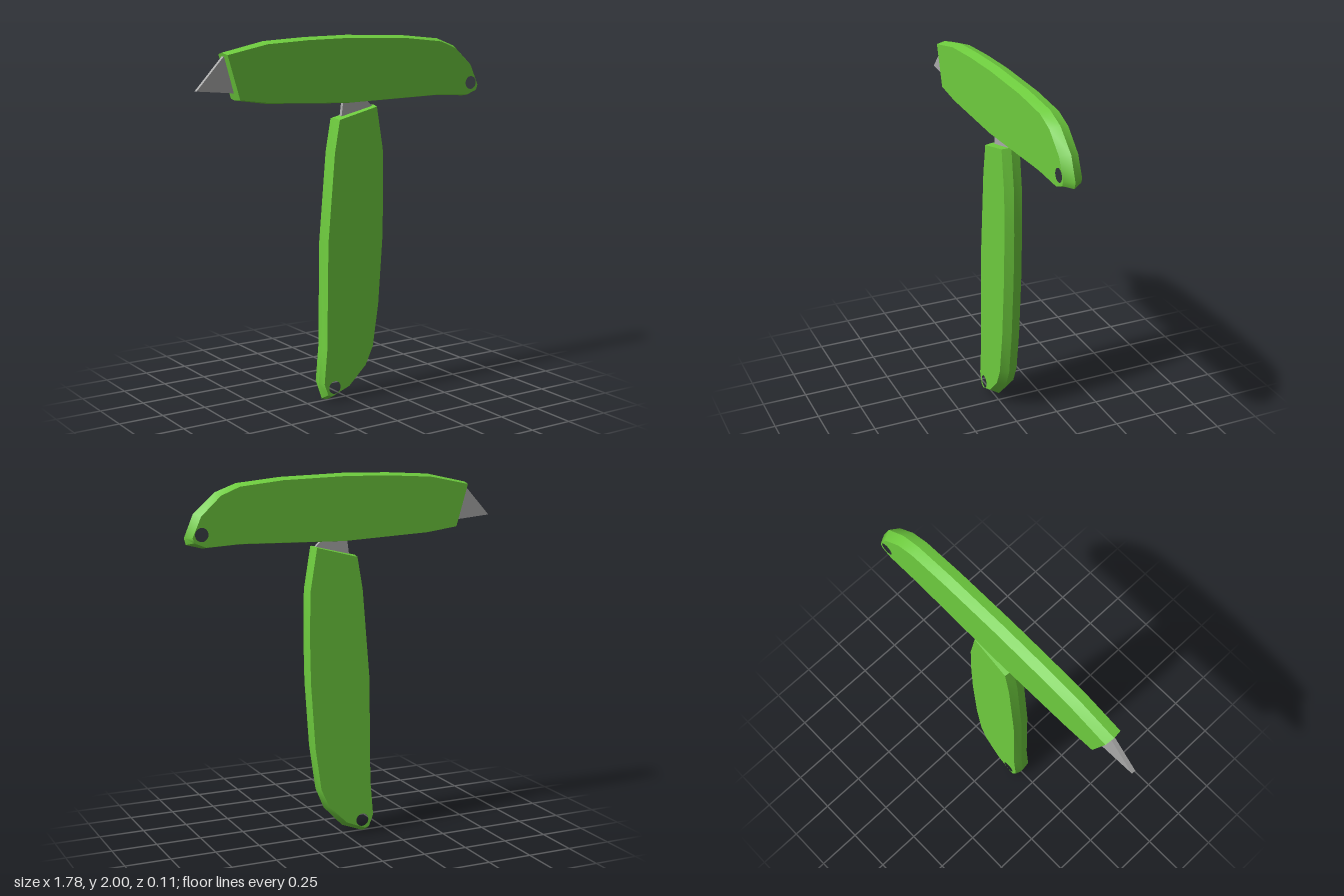
import * as THREE from 'three';
import { toCreasedNormals } from 'three/addons/utils/BufferGeometryUtils.js';

const HOLE = [0.807, 1.714]; // lanyard hole, used as each knife's origin
const HALF = 0.05; // half thickness of the handle

// Handle outline along the centre ridge, clockwise from the blade end
const ridge = [
  [-0.742, 1.93], [-0.505, 1.981], [-0.26, 1.995], [0, 2.0], [0.36, 1.989], [0.603, 1.965],
  [0.715, 1.923], [0.835, 1.818], [0.886, 1.696], [0.876, 1.661], [0.79, 1.639],
  [0.59, 1.65], [0, 1.637], [-0.49, 1.659], [-0.673, 1.686],
];
// Matching outline of the flat side faces
const face = [
  [-0.735, 1.92], [-0.505, 1.967], [-0.26, 1.981], [0, 1.986], [0.36, 1.975], [0.597, 1.95],
  [0.7, 1.908], [0.808, 1.807], [0.856, 1.70], [0.847, 1.674], [0.785, 1.648],
  [0.59, 1.658], [0, 1.644], [-0.49, 1.667], [-0.667, 1.691],
];
const blade = [[-0.7, 1.96 - 0.06], [-0.733, 1.915], [-0.892, 1.743], [-0.675, 1.723], [-0.6, 1.723], [-0.6, 1.9]];

const local = (pts) => pts.map(([x, y]) => new THREE.Vector2(x - HOLE[0], y - HOLE[1]));

// Band of quads joining two closed outlines at two depths
function band(a, za, b, zb) {
  const pos = [];
  a.forEach((p, i) => {
    const j = (i + 1) % a.length;
    const q = a[j], r = b[j], s = b[i];
    pos.push(p.x, p.y, za, q.x, q.y, za, r.x, r.y, zb);
    pos.push(p.x, p.y, za, r.x, r.y, zb, s.x, s.y, zb);
  });
  const g = new THREE.BufferGeometry();
  g.setAttribute('position', new THREE.Float32BufferAttribute(pos, 3));
  return toCreasedNormals(g, 0.75);
}

function plate(shape, depth) {
  const g = new THREE.ExtrudeGeometry(shape, { depth, bevelEnabled: false, curveSegments: 16 });
  g.translate(0, 0, -depth / 2);
  return toCreasedNormals(g, 0.5);
}

function createKnife(name, green, steel) {
  const knife = new THREE.Group();
  knife.name = name;
  const add = (partName, geometry, material) => {
    const mesh = new THREE.Mesh(geometry, material);
    mesh.name = partName;
    knife.add(mesh);
  };

  // Handle sides with the round hole cut through
  const side = new THREE.Shape(local(face));
  side.holes.push(new THREE.Path().absarc(0, 0, 0.036, 0, Math.PI * 2, true));
  add('handleSides', plate(side, HALF * 2), green);

  // Rim sloping out from each side to the centre ridge
  const inner = local(face), outer = local(ridge);
  add('frontRim', band(inner, HALF, outer, 0), green);
  add('backRim', band(outer, 0, inner, -HALF), green);

  // Blade, with its root inside the handle
  add('blade', plate(new THREE.Shape(local(blade)), 0.022), steel);
  return knife;
}

export function createModel() {
  const green = new THREE.MeshStandardMaterial({ color: 0x6ecc3e });
  green.name = 'handleGreen';
  const steel = new THREE.MeshStandardMaterial({ color: 0xaaaaaa });
  steel.name = 'bladeGrey';

  const model = new THREE.Group();
  model.name = 'crossedUtilityKnives';

  const upper = createKnife('horizontalKnife', green, steel);
  upper.position.set(HOLE[0], HOLE[1], 0);

  // Upright knife, tilted slightly and turned a touch about its length
  const lower = createKnife('uprightKnife', green, steel);
  lower.position.set(-0.098, 0.081, -0.004);
  lower.rotation.set(0, -0.04, -Math.PI / 2 - 0.038);

  model.add(upper, lower);
  return model;
}
